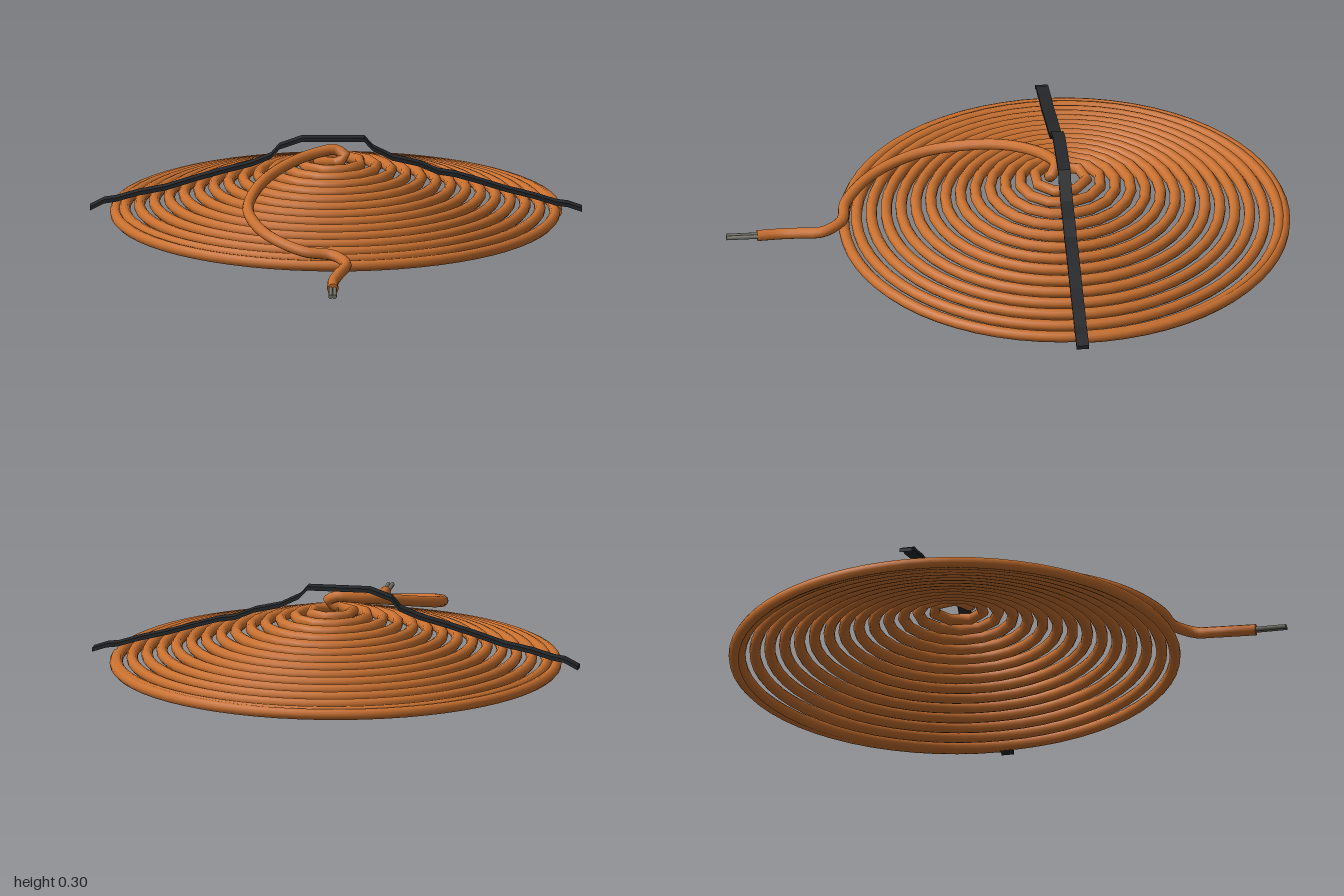
import * as THREE from 'three';

const copper = new THREE.MeshStandardMaterial({ color: 0xc8702f });
const black = new THREE.MeshStandardMaterial({ color: 0x26282b });
const metal = new THREE.MeshStandardMaterial({ color: 0x77776c });
const CZ = -0.2;      // centre of the coil in z
const WIRE = 0.02;    // wire radius

function add(group, name, geometry, material) {
  const mesh = new THREE.Mesh(geometry, material);
  mesh.name = name;
  group.add(mesh);
  return mesh;
}

// Conical spiral: the radius grows steadily, then the last turn closes as a circle
class ConeSpiral extends THREE.Curve {
  constructor() {
    super();
    this.arcLengthDivisions = 3000;
  }
  getPoint(t, target = new THREE.Vector3()) {
    const turns = 14.75 * t;
    const r = Math.min(0.78, 0.052 + turns * 0.0525);
    const a = turns * Math.PI * 2 + Math.PI / 2;
    const y = 0.025 + (0.78 - r) * 0.26;
    return target.set(Math.cos(a) * r, y, CZ + Math.sin(a) * r);
  }
}

// Round disc that closes the end of a wire
function cap(group, name, position, direction, material) {
  const disc = add(group, name, new THREE.CircleGeometry(WIRE, 10), material);
  disc.position.copy(position);
  disc.lookAt(position.clone().add(direction));
}

export function createModel() {
  const model = new THREE.Group();
  model.name = 'spiralCoil';

  // Coil, with long straight steps so the innermost turns look angular
  const spiral = new ConeSpiral();
  add(model, 'coil', new THREE.TubeGeometry(spiral, 530, WIRE, 10, false), copper);
  cap(model, 'coilEnd', spiral.getPoint(1), spiral.getTangent(1), copper);

  // Lead wire: rises from the middle, sweeps over the coil and leaves at the front
  const leadPoints = [
    [0.0, 0.215, -0.148], [0.035, 0.235, -0.15], [0.0, 0.258, -0.17],
    [-0.06, 0.252, -0.155], [-0.15, 0.235, -0.09], [-0.24, 0.205, 0.02],
    [-0.295, 0.17, 0.16], [-0.305, 0.145, 0.28], [-0.265, 0.118, 0.41],
    [-0.2, 0.096, 0.5], [-0.1, 0.074, 0.57], [0.0, 0.066, 0.59],
    [0.045, 0.052, 0.66], [0.02, 0.035, 0.73], [0.0, 0.023, 0.8], [0.0, 0.02, 0.89],
  ].map((p) => new THREE.Vector3(...p));
  const lead = new THREE.CatmullRomCurve3(leadPoints, false, 'centripetal');
  add(model, 'leadWire', new THREE.TubeGeometry(lead, 64, WIRE, 10, false), copper);
  cap(model, 'leadWireEnd', lead.getPoint(1), lead.getTangent(1), copper);

  // Two bare strands at the tip
  for (const side of [-1, 1]) {
    const strand = add(model, 'bareStrand', new THREE.CylinderGeometry(0.008, 0.008, 0.13, 8), metal);
    strand.rotation.x = Math.PI / 2;
    strand.position.set(side * 0.007, 0.02, 0.935);
  }

  // Thin strap bent along the slope of the cone
  const path = [
    [-0.87, 0.04], [-0.82, 0.066], [-0.78, 0.072], [-0.7, 0.095], [-0.6, 0.115],
    [-0.5, 0.147], [-0.4, 0.176], [-0.3, 0.202], [-0.23, 0.23], [-0.2, 0.265],
    [-0.12, 0.293], [0.1, 0.293], [0.13, 0.26], [0.2, 0.225], [0.29, 0.205],
    [0.36, 0.175], [0.42, 0.166], [0.5, 0.143], [0.6, 0.112], [0.7, 0.087],
    [0.78, 0.062], [0.82, 0.057], [0.87, 0.04],
  ];
  const half = 0.007;
  const outline = [
    ...path.map(([x, y]) => new THREE.Vector2(x, y - half)),
    ...path.slice().reverse().map(([x, y]) => new THREE.Vector2(x, y + half)),
  ];
  const strap = new THREE.ExtrudeGeometry(new THREE.Shape(outline), { depth: 0.044, bevelEnabled: false });
  add(model, 'strap', strap, black).position.z = -0.214;

  return model;
}
